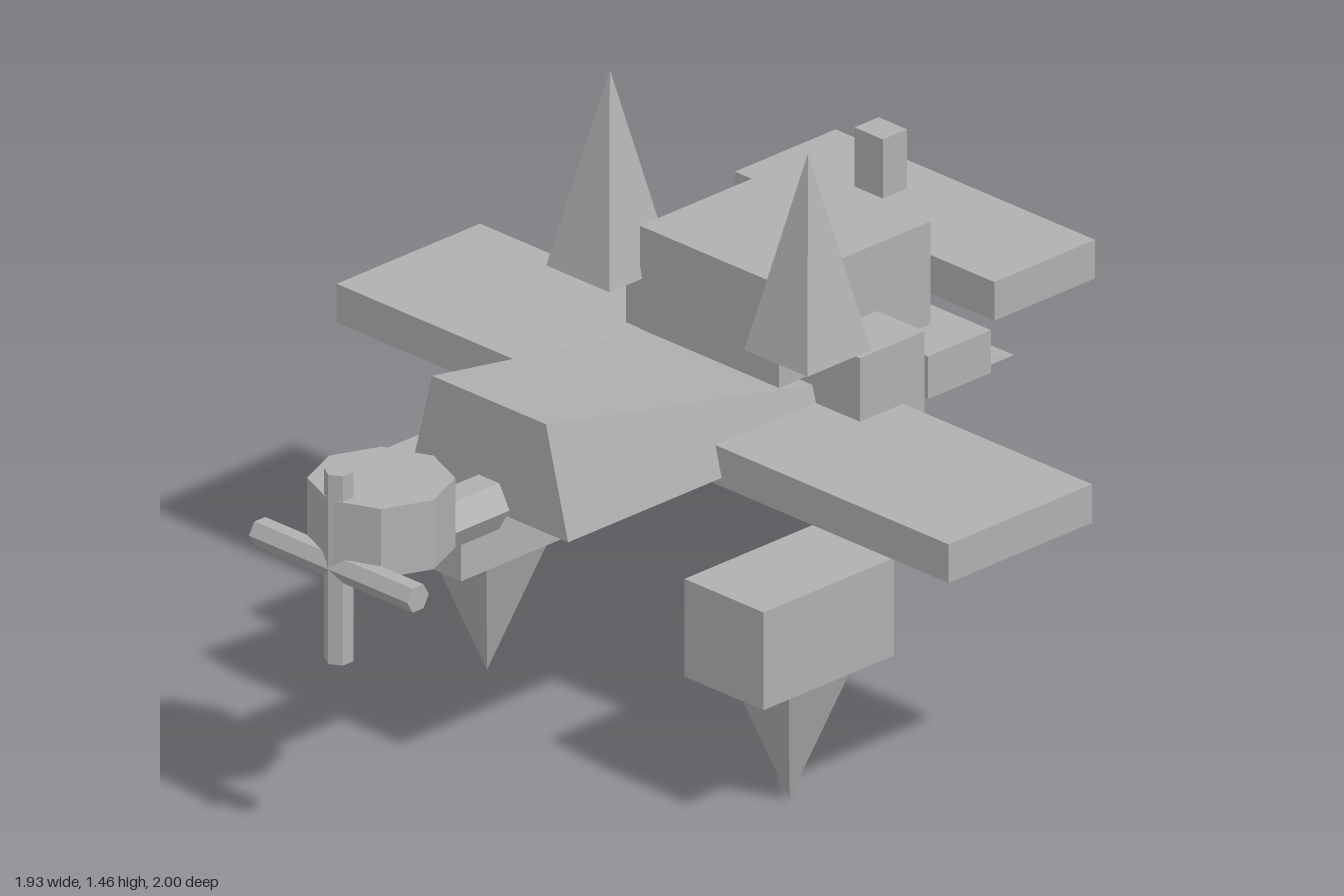
import * as THREE from 'three';

const grey = new THREE.MeshStandardMaterial({ color: 0xb0b0b0 });
grey.name = 'plain grey';
grey.flatShading = true;

export function createModel() {
  const model = new THREE.Group();
  model.name = 'aeroplane';

  const add = (name, geometry, x, y, z) => {
    const mesh = new THREE.Mesh(geometry, grey);
    mesh.name = name;
    mesh.position.set(x, y, z);
    model.add(mesh);
    return mesh;
  };

  // Box given by its extents on each axis
  const box = (name, [x0, x1], [y0, y1], [z0, z1]) =>
    add(name, new THREE.BoxGeometry(x1 - x0, y1 - y0, z1 - z0),
      (x0 + x1) / 2, (y0 + y1) / 2, (z0 + z1) / 2);

  // Square pyramid with its sides along x and z
  const pyramid = (halfWidth, height) =>
    new THREE.ConeGeometry(halfWidth * Math.SQRT2, height, 4).rotateY(Math.PI / 4);

  // Fuselage: a wedge tapering to a flat tail edge
  const wedge = new THREE.BufferGeometry();
  wedge.setAttribute('position', new THREE.Float32BufferAttribute([
    -0.25, 0.708, 0.495, 0.25, 0.708, 0.495,
    0.18, 0.975, 0.495, -0.18, 0.975, 0.495,
    -0.25, 0.708, -0.905, 0.25, 0.708, -0.905,
  ], 3));
  wedge.setIndex([0, 1, 2, 0, 2, 3, 3, 2, 5, 3, 5, 4, 1, 5, 2, 0, 3, 4, 0, 4, 5, 0, 5, 1]);
  const fuselageGeometry = wedge.toNonIndexed();
  fuselageGeometry.computeVertexNormals();
  add('fuselage', fuselageGeometry, 0, 0, 0);

  // Wings, cabin and tail blocks
  box('mainWing', [-0.967, 0.967], [0.687, 0.782], [-0.437, 0.013]);
  box('cabin', [-0.22, 0.22], [0.85, 1.103], [-0.672, -0.197]);
  box('crossBlock', [-0.37, 0.37], [0.698, 0.938], [-0.505, -0.302]);
  box('tailBlock', [-0.303, 0.303], [0.723, 0.828], [-0.78, -0.582]);
  box('tailWing', [-0.41, 0.41], [0.918, 1.013], [-1, -0.684]);
  box('tailPost', [0, 0.09], [1.123, 1.268], [-0.728, -0.652]);

  // Engine: shaft along z and an upright eight-sided drum
  const shaft = new THREE.CylinderGeometry(0.065, 0.065, 0.315, 6)
    .rotateY(Math.PI / 6).rotateX(Math.PI / 2);
  add('noseShaft', shaft, 0, 0.725, 0.6525);
  add('engineDrum', new THREE.CylinderGeometry(0.165, 0.165, 0.17, 8), 0, 0.81, 0.833);

  // Propeller: two crossed hexagonal bars
  const bladeLength = { upright: 0.465, level: 0.5 };
  const blade = (length) => new THREE.CylinderGeometry(0.034, 0.034, length, 6);
  add('propellerBladeUpright', blade(bladeLength.upright), 0, 0.725, 0.966);
  add('propellerBladeLevel', blade(bladeLength.level).rotateZ(Math.PI / 2), 0, 0.725, 0.966);

  // Mirrored spikes and undercarriage pods
  for (const [side, s] of [['left', 1], ['right', -1]]) {
    add(side + 'Spike', pyramid(0.1, 0.482), s * 0.313, 1.216, -0.195);
    add(side + 'Pod', new THREE.BoxGeometry(0.25, 0.24, 0.41), s * 0.478, 0.446, 0.027);
    add(side + 'PodSpike', pyramid(0.1, 0.326).rotateX(Math.PI), s * 0.478, 0.163, 0.027);
  }

  return model;
}
